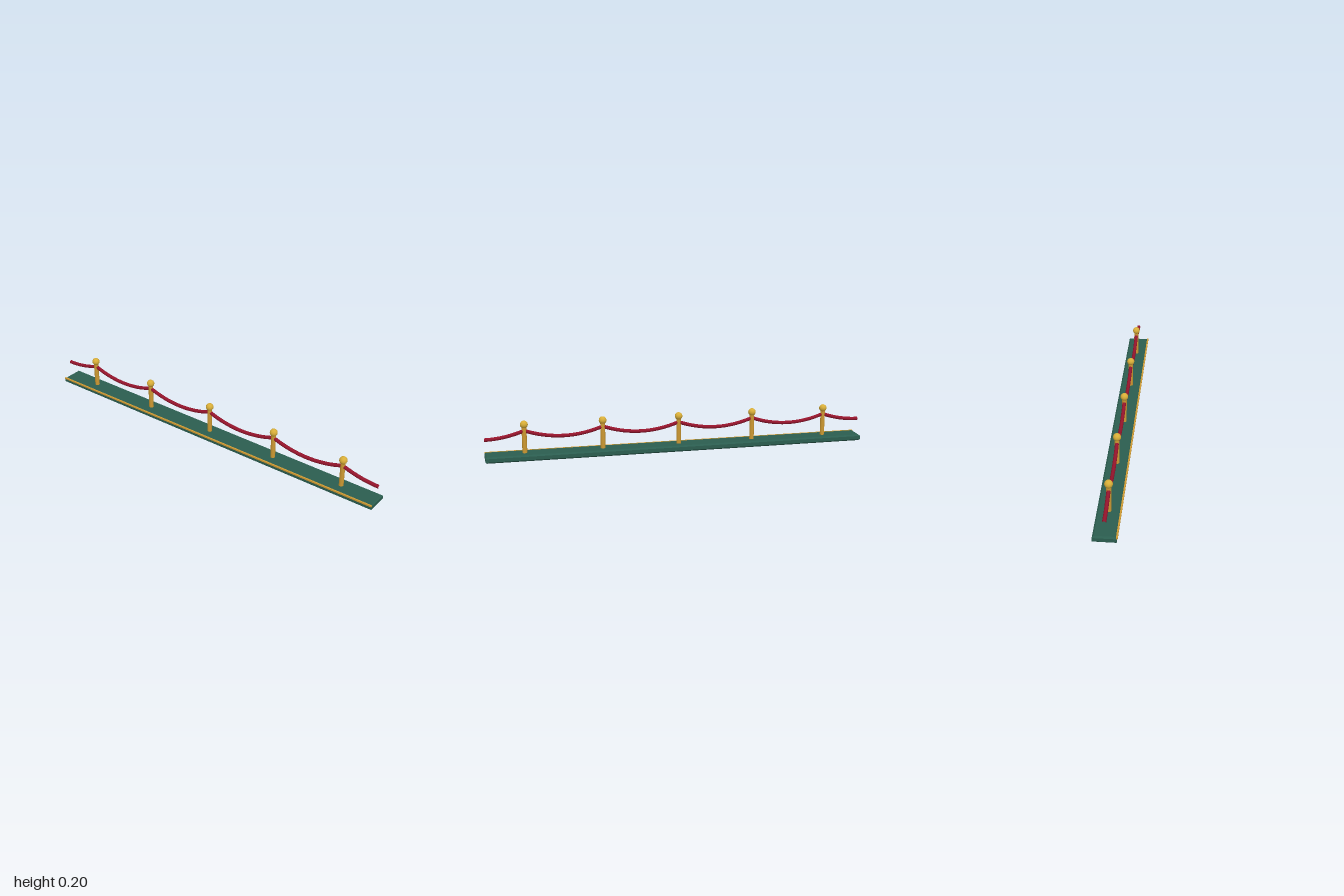
import * as THREE from 'three';

const mat = (name, color) => new THREE.MeshStandardMaterial({ name, color });

// Rectangular rings, each [inset, y], skinned in order; first and last are capped.
function ringSolid(width, depth, rings) {
  const corners = rings.map(([inset, y]) => {
    const a = width / 2 - inset, b = depth / 2 - inset;
    return [[-a, y, b], [a, y, b], [a, y, -b], [-a, y, -b]];
  });
  const pos = [];
  const quad = (a, b, c, d) => pos.push(...a, ...b, ...c, ...a, ...c, ...d);
  for (let i = 0; i < corners.length - 1; i++) {
    const lo = corners[i], hi = corners[i + 1];
    for (let k = 0; k < 4; k++) {
      const n = (k + 1) % 4;
      quad(lo[k], lo[n], hi[n], hi[k]);
    }
  }
  const first = corners[0], last = corners[corners.length - 1];
  quad(first[3], first[2], first[1], first[0]);
  quad(...last);
  const g = new THREE.BufferGeometry();
  g.setAttribute('position', new THREE.Float32BufferAttribute(pos, 3));
  g.computeVertexNormals();
  return g;
}

export function createModel() {
  const green = mat('green base', 0x2b5d4f);
  const brass = mat('brass', 0xcf9a32);
  const gold = mat('bright gold', 0xd8ae38);
  const red = mat('red velvet', 0x96142c);

  const model = new THREE.Group();
  model.name = 'ropeBarrier';
  const midZ = -0.002;
  const add = (name, geometry, material, x, y, z, parent = model) => {
    const mesh = new THREE.Mesh(geometry, material);
    mesh.name = name;
    mesh.position.set(x, y, z);
    parent.add(mesh);
  };

  // Plinth with chamfered edges and a hollow underside
  const plinth = ringSolid(2, 0.111, [
    [0.016, 0.022], [0.016, 0], [0.008, 0], [0, 0.007],
    [0, 0.025], [0.008, 0.032],
  ]);
  add('plinth', plinth, green, 0, 0, midZ);

  // Brass strip along the front edge
  add('frontTrim', new THREE.BoxGeometry(2, 0.008, 0.008), brass, 0, 0.028, 0.0535);

  // Posts with a ball on top and a domed foot inside the plinth
  const shaft = new THREE.CylinderGeometry(0.0125, 0.0125, 0.145, 8);
  const foot = new THREE.SphereGeometry(0.026, 10, 4, 0, Math.PI * 2, Math.PI / 2, Math.PI / 2);
  foot.scale(1, 0.85, 1);
  const ball = new THREE.SphereGeometry(0.02, 18, 12);
  for (let i = -2; i <= 2; i++) {
    const post = new THREE.Group();
    post.name = 'post';
    post.position.set(i * 0.4, 0, midZ);
    add('shaft', shaft, brass, 0, 0.0955, 0, post);
    add('foot', foot, gold, 0, 0.0225, 0, post);
    add('ball', ball, gold, 0, 0.179, 0, post);
    model.add(post);
  }

  // Sagging ropes: four full spans and an open-ended half span at each end
  const span = 0.4, low = 0.11, sag = 0.037, radius = 0.0095;
  const rope = (name, center, from, to) => {
    const points = [];
    for (let k = 0; k <= 8; k++) {
      const u = from + (to - from) * k / 8;
      points.push(new THREE.Vector3(center + u * span / 2, low + sag * u * u, 0));
    }
    const curve = new THREE.CatmullRomCurve3(points);
    add(name, new THREE.TubeGeometry(curve, 16, radius, 8), red, 0, 0, midZ);
  };
  for (const x of [-0.6, -0.2, 0.2, 0.6]) rope('rope', x, -1, 1);
  rope('endRopeRight', -1, 0, 1);
  rope('endRopeLeft', 1, -1, 0);
  return model;
}
